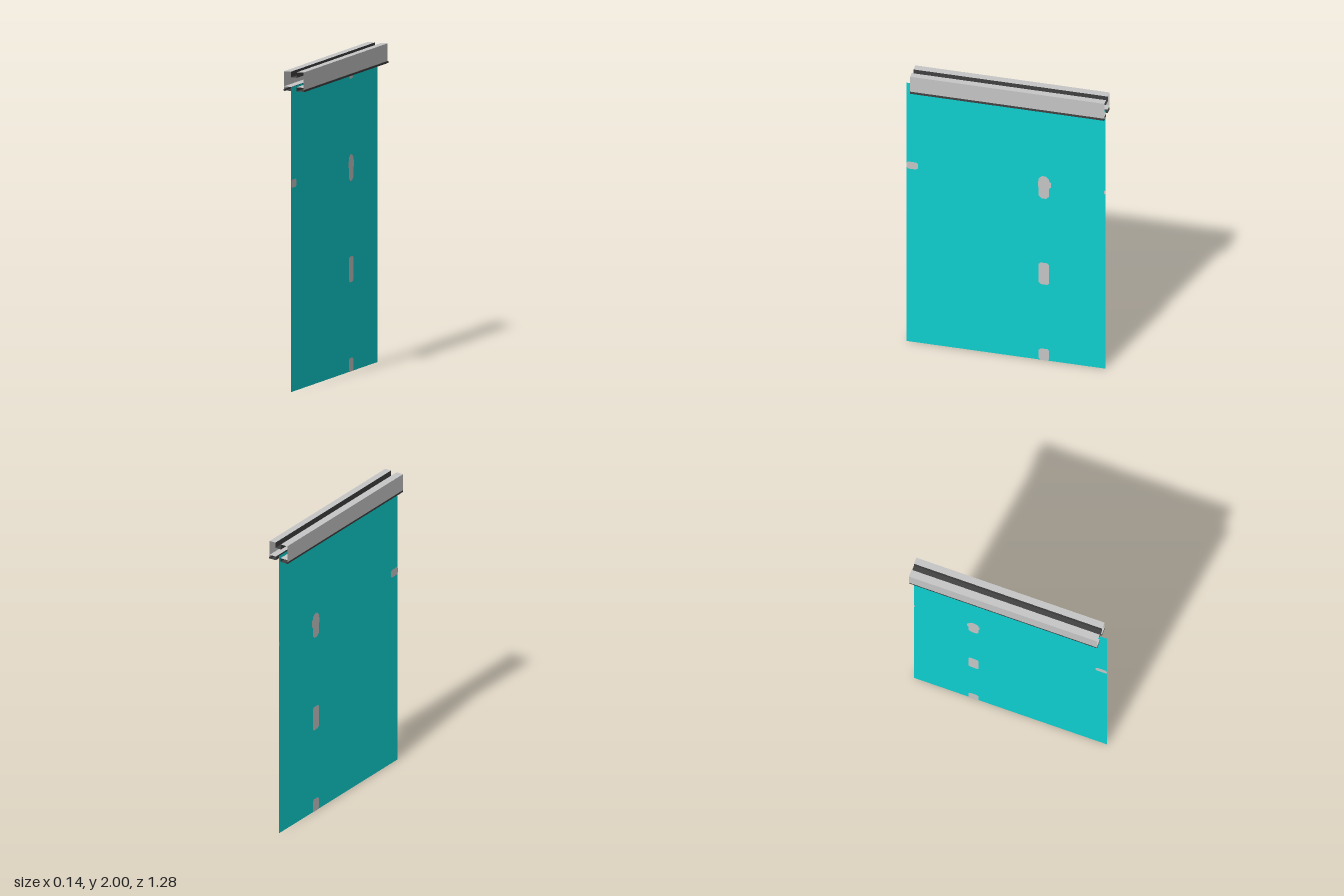
import * as THREE from 'three';

const FRONT = 0.6, BACK = -0.64; // ends of the rail along z

// Sheet metal: an open cross-section in x,y swept along the rail
function sheet(points) {
  const pos = [], idx = [];
  for (let i = 0; i < points.length - 1; i++) {
    const [a, b] = [points[i], points[i + 1]];
    const n = pos.length / 3;
    pos.push(a[0], a[1], FRONT, b[0], b[1], FRONT, b[0], b[1], BACK, a[0], a[1], BACK);
    idx.push(n, n + 1, n + 2, n, n + 2, n + 3);
  }
  const g = new THREE.BufferGeometry();
  g.setAttribute('position', new THREE.Float32BufferAttribute(pos, 3));
  g.setIndex(idx);
  g.computeVertexNormals();
  return g;
}

// Flat patch in the z,y plane with clipped corners
function patchGeometry(z0, z1, y0, y1, c) {
  const s = new THREE.Shape([
    [z0 + c, y0], [z1 - c, y0], [z1, y0 + c], [z1, y1 - c],
    [z1 - c, y1], [z0 + c, y1], [z0, y1 - c], [z0, y0 + c],
  ].map(([z, y]) => new THREE.Vector2(-z, y)));
  return new THREE.ShapeGeometry(s).rotateY(Math.PI / 2);
}

export function createModel() {
  const model = new THREE.Group();
  model.name = 'hangingPanel';
  const make = (name, hex) => {
    const m = new THREE.MeshStandardMaterial({ color: hex, side: THREE.DoubleSide });
    m.name = name;
    return m;
  };
  const cyan = make('cyan', 0x0ecfcf);
  const grey = make('lightGrey', 0xc6c6c6);
  const dark = make('darkGrey', 0x404040);
  const add = (parent, name, geometry, material) => {
    const mesh = new THREE.Mesh(geometry, material);
    mesh.name = name;
    parent.add(mesh);
    return mesh;
  };

  // Hanging sheet
  const sheetPanel = add(model, 'panel', new THREE.PlaneGeometry(1.27, 1.91).rotateY(Math.PI / 2), cyan);
  sheetPanel.position.set(0, 0.955, 0.005);

  // Pale patches, shown on both faces: z0, z1, y0, y1, corner
  const patches = new THREE.Group();
  patches.name = 'patches';
  model.add(patches);
  const spots = [
    [-0.272, -0.205, 1.835, 1.91, 0.015],
    [-0.282, -0.2, 1.27, 1.33, 0.012],
    [-0.272, -0.205, 1.195, 1.36, 0.02],
    [-0.272, -0.205, 0.56, 0.72, 0.012],
    [-0.272, -0.205, 0, 0.085, 0.012],
    [0.565, 0.64, 1.278, 1.33, 0.012],
    [-0.63, -0.623, 1.29, 1.318, 0.003],
  ];
  for (const spot of spots)
    for (const side of [-1, 1])
      add(patches, 'patch', patchGeometry(...spot), grey).position.x = side * 0.002;

  // Slotted rail, one half on each side
  const rail = new THREE.Group();
  rail.name = 'rail';
  model.add(rail);
  for (const side of [-1, 1]) {
    const wall = side < 0 ? 0.069 : 0.064;
    const at = (x, y) => [side * x, y];
    add(rail, 'railSide', sheet([at(0.021, 2), at(wall, 2), at(wall, 1.89)]), grey);
    add(rail, 'railLedge', sheet([at(wall, 1.905), at(0.018, 1.905)]), grey);
    add(rail, 'railUnderside', sheet([at(0.018, 1.905), at(0.018, 1.88), at(wall, 1.88)]), dark);
    // Edge bead along the foot
    const bead = add(rail, 'edgeBead', new THREE.BoxGeometry(0.01, 0.012, FRONT - BACK), dark);
    bead.position.set(side * 0.0645, 1.884, (FRONT + BACK) / 2);
  }
  // Recessed slot lining
  add(rail, 'slot', sheet([[-0.021, 2], [-0.021, 1.965], [0.021, 1.965], [0.021, 2]]), dark);

  return model;
}
